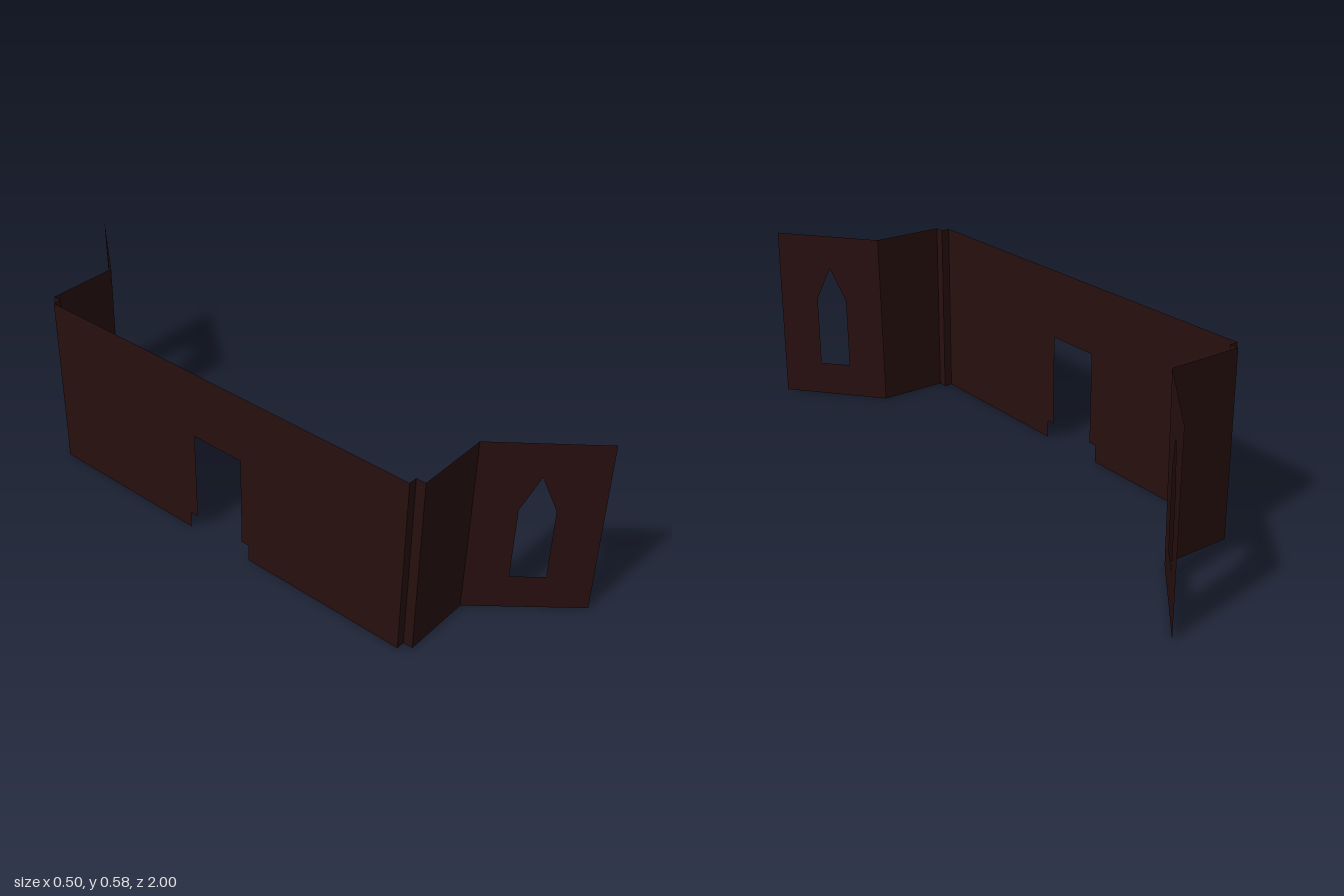
import * as THREE from 'three';

const H = 0.583;

// Flat panel from foot point a to b, each [x, z, lean of x at the top];
// the outline runs 0..1 along the panel and 0..H upwards.
function panel(name, a, b, material, outline, hole) {
  const points = (list) => list.map(([u, v]) => new THREE.Vector2(u, v));
  const shape = new THREE.Shape(points(outline || [[0, 0], [1, 0], [1, H], [0, H]]));
  if (hole) shape.holes.push(new THREE.Path(points(hole)));
  const geometry = new THREE.ShapeGeometry(shape);
  const pos = geometry.attributes.position;
  for (let i = 0; i < pos.count; i++) {
    const u = pos.getX(i), v = pos.getY(i), t = v / H;
    const xa = a[0] + (a[2] || 0) * t, xb = b[0] + (b[2] || 0) * t;
    pos.setXYZ(i, xa + (xb - xa) * u, v, a[1] + (b[1] - a[1]) * u);
  }
  geometry.computeVertexNormals();
  const mesh = new THREE.Mesh(geometry, material);
  mesh.name = name;
  return mesh;
}

export function createModel() {
  const group = new THREE.Group();
  group.name = 'facadeWall';
  const brown = new THREE.MeshStandardMaterial({ color: 0x280f0f, side: THREE.DoubleSide });
  brown.name = 'darkBrown';

  // Long wall with a doorway that widens at the foot
  const zBack = -0.69, zFront = 0.685;
  const along = (z) => (zFront - z) / (zFront - zBack);
  const door = [[0.122, 0], [0.122, 0.057], [0.094, 0.057], [0.094, 0.36],
    [-0.09, 0.36], [-0.09, 0.057], [-0.119, 0.057], [-0.119, 0]];
  const outline = [[0, 0], ...door.map(([z, y]) => [along(z), y]), [1, 0], [1, H], [0, H]];
  group.add(panel('doorWall', [-0.249, zFront], [-0.249, zBack], brown, outline));

  // Pointed window in each splayed wing
  const windowHole = [[0.35, 0.115], [0.635, 0.115], [0.635, 0.355], [0.495, 0.47], [0.35, 0.355]];

  for (const [side, s, zInner, zOuter] of [['front', 1, zFront, 0.716], ['back', -1, -zBack, 0.72]]) {
    const corner = [0.011, s * zOuter, 0.009];
    const step = [-0.221, s * zInner], stepEnd = [-0.221, s * zOuter];
    // Small stepped corner, return wall and wing
    group.add(panel(side + 'StepFace', [-0.249, s * zInner], step, brown));
    group.add(panel(side + 'StepSide', step, stepEnd, brown));
    group.add(panel(side + 'ReturnWall', stepEnd, corner, brown));
    group.add(panel(side + 'WindowWing', corner, [0.248, s, -0.002], brown, null, windowHole));
  }
  return group;
}
